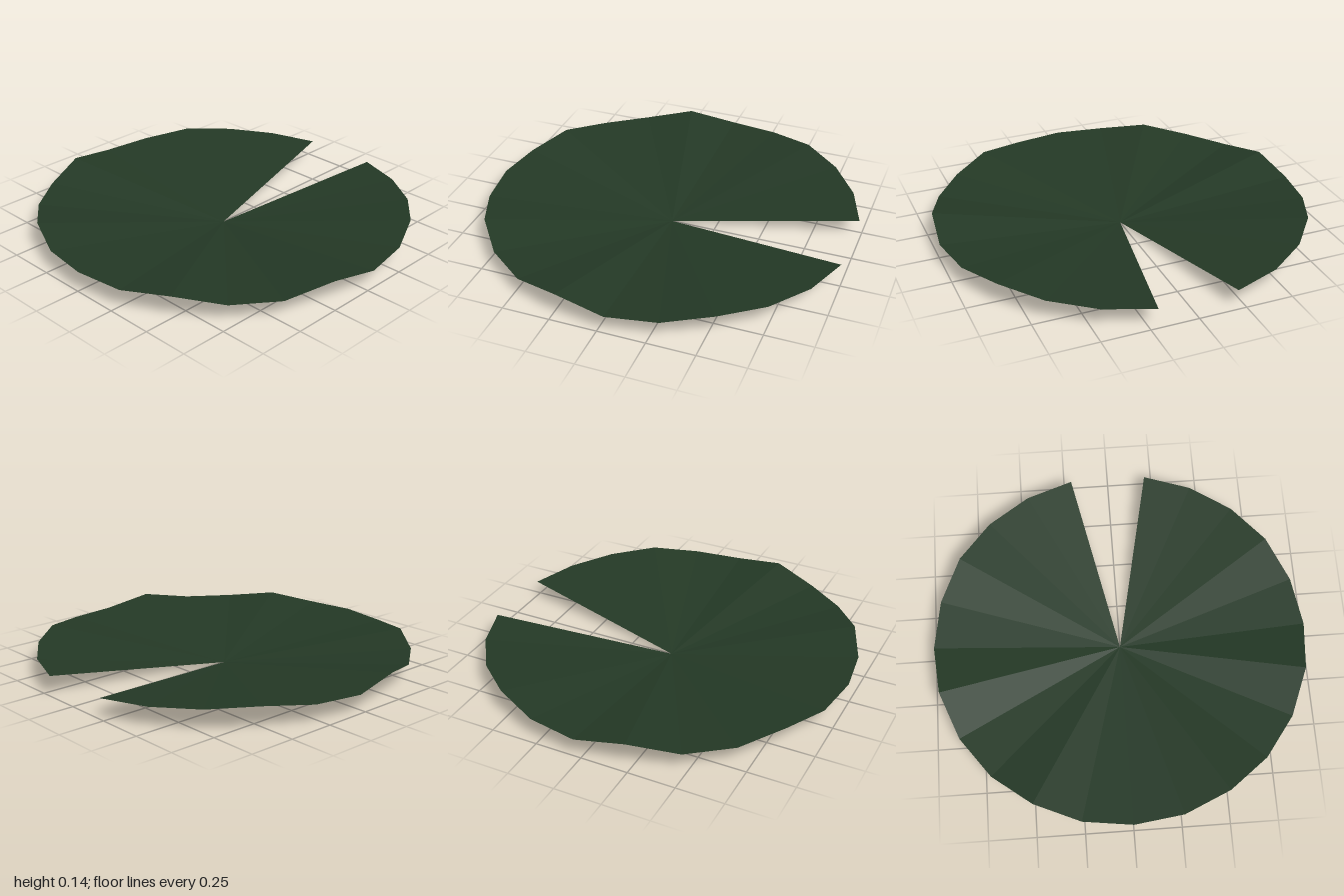
import * as THREE from 'three';

export function createModel() {
  const group = new THREE.Group();
  group.name = 'lilyPad';

  const leafGreen = new THREE.MeshStandardMaterial({
    color: 0x233825, flatShading: true, side: THREE.DoubleSide,
  });
  leafGreen.name = 'leafGreen';

  // Rim heights from one side of the notch to the far end, mirrored for the other half
  const half = [0.1, 0.105, 0.114, 0.126, 0.103, 0.097, 0.139, 0.097, 0.099, 0.128, 0.102, 0.104];
  const heights = [...half, ...half.slice(0, -1).reverse()];

  // Shallow fan with a wedge notch open towards +x
  const notch = THREE.MathUtils.degToRad(12);
  const segments = heights.length - 1;
  const centreX = 0.01;
  const rim = heights.map((y, i) => {
    const a = notch + (i / segments) * (2 * Math.PI - 2 * notch);
    return [centreX + Math.cos(a), y, Math.sin(a)];
  });

  const positions = [];
  for (let i = 0; i < segments; i++) {
    positions.push(centreX, 0, 0, ...rim[i + 1], ...rim[i]);
  }
  const geometry = new THREE.BufferGeometry();
  geometry.setAttribute('position', new THREE.Float32BufferAttribute(positions, 3));
  geometry.computeVertexNormals();

  const leaf = new THREE.Mesh(geometry, leafGreen);
  leaf.name = 'leaf';
  group.add(leaf);
  return group;
}
